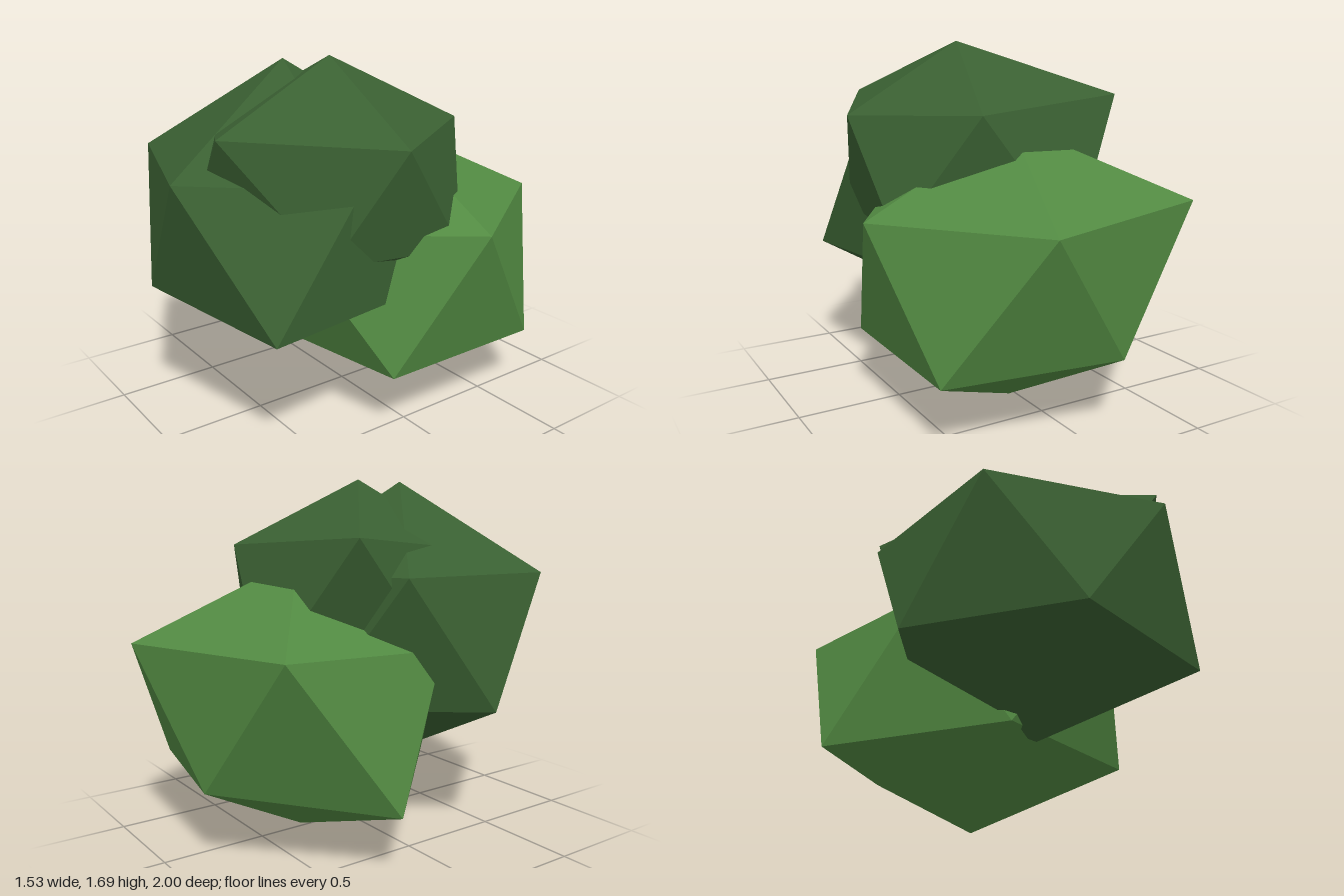
import * as THREE from 'three';

const STEP = Math.PI / 5;
const FLATTEN = 0.427; // ring height for each unit of ring radius

// Uneven twenty-sided clump: two staggered rings of five corners and two poles.
function clump(name, material, centre, top, bottom, upper, lower) {
  const ring = (radii, offset, side) => radii.map((r, i) => {
    const a = (2 * i + offset) * STEP;
    return [r * Math.cos(a), side * FLATTEN * r, r * Math.sin(a)];
  });
  const u = ring(upper, 0, 1);
  const l = ring(lower, 1, -1);
  const t = [0, top, 0];
  const b = [0, -bottom, 0];
  const points = [];
  for (let i = 0; i < 5; i++) {
    const j = (i + 1) % 5;
    points.push(t, u[j], u[i]); // cap
    points.push(u[i], u[j], l[i], l[i], u[j], l[j]); // belt
    points.push(b, l[i], l[j]); // underside
  }
  const geometry = new THREE.BufferGeometry();
  geometry.setAttribute('position', new THREE.Float32BufferAttribute(points.flat(), 3));
  geometry.computeVertexNormals();
  const mesh = new THREE.Mesh(geometry, material);
  mesh.name = name;
  mesh.position.set(...centre);
  return mesh;
}

export function createModel() {
  const darkGreen = new THREE.MeshStandardMaterial({ color: 0x3a6032, flatShading: true });
  darkGreen.name = 'darkGreen';
  const lightGreen = new THREE.MeshStandardMaterial({ color: 0x528a42, flatShading: true });
  lightGreen.name = 'lightGreen';

  const bush = new THREE.Group();
  bush.name = 'bush';
  bush.add(
    clump('frontLeafClump', darkGreen, [-0.01, 0.945, 0.32], 0.735, 0.655,
      [0.58, 0.71, 0.71, 0.76, 0.7], [0.75, 0.64, 0.71, 0.7, 0.67]),
    clump('topLeafClump', darkGreen, [0.095, 1.111, 0.14], 0.58, 0.6,
      [0.57, 0.745, 0.575, 0.77, 0.63], [0.55, 0.7, 0.68, 0.73, 0.625]),
    clump('backLeafClump', lightGreen, [0.03, 0.6225, -0.26], 0.7, 0.6225,
      [0.73, 0.8, 0.7, 0.836, 0.78], [0.73, 0.647, 0.795, 0.647, 0.73]),
  );
  return bush;
}
